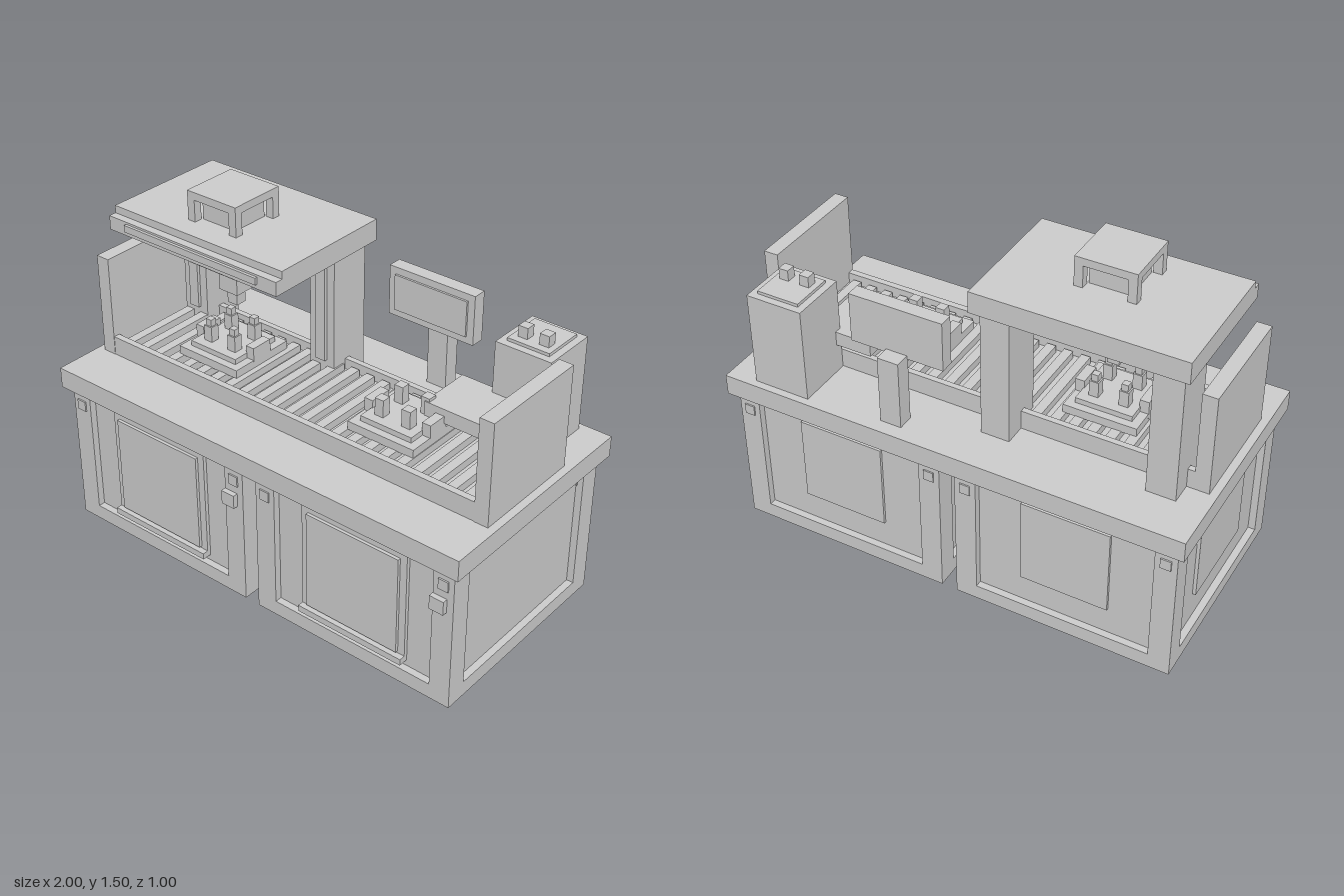
import * as THREE from 'three';

const grey = new THREE.MeshStandardMaterial({ color: 0xcccccc });
grey.name = 'light machine grey';

// Adds a box given by its extents on each axis
function box(parent, name, x0, x1, y0, y1, z0, z1) {
  const mesh = new THREE.Mesh(new THREE.BoxGeometry(x1 - x0, y1 - y0, z1 - z0), grey);
  mesh.position.set((x0 + x1) / 2, (y0 + y1) / 2, (z0 + z1) / 2);
  mesh.name = name;
  parent.add(mesh);
}

function group(parent, name, x = 0, z = 0) {
  const g = new THREE.Group();
  g.name = name;
  g.position.set(x, 0, z);
  parent.add(g);
  return g;
}

// Cabinet with corner posts, recessed walls and raised doors, centred on its own x
function addCabinet(parent, name, x) {
  const g = group(parent, name, x);
  const w = 0.466, d = 0.468, post = 0.092;
  box(g, 'plinth', -w, w, 0, 0.065, -d, d);
  box(g, 'recessedBody', -w + 0.03, w - 0.03, 0.065, 0.63, -d + 0.03, d - 0.03);
  for (const sx of [-1, 1]) {
    for (const sz of [-1, 1]) {
      const cx = sx * (w - post / 2), cz = sz * (d - post / 2);
      box(g, 'cornerPost', cx - post / 2, cx + post / 2, 0.065, 0.63, cz - post / 2, cz + post / 2);
      box(g, 'postBolt', cx - 0.022, cx + 0.022, 0.535, 0.58, cz - 0.052, cz + 0.052);
    }
  }
  box(g, 'frontDoor', -0.248, 0.248, 0.095, 0.595, 0.43, 0.454);
  box(g, 'frontDoorPanel', -0.217, 0.217, 0.13, 0.565, 0.45, 0.467);
  box(g, 'doorSill', -0.248, 0.248, 0.092, 0.12, 0.43, 0.48);
  box(g, 'doorHandle', 0.374, 0.437, 0.44, 0.5, 0.46, 0.49);
  box(g, 'backPanel', -0.187, 0.187, 0.19, 0.57, -0.45, -0.43);
  box(g, 'sidePanel', -0.45, -0.43, 0.19, 0.57, -0.21, 0.21);
}

// Work-holding pallet with four pins and two clamps; tipHeight narrows the pin tops
function addPallet(parent, name, x, pinTop, tipHeight) {
  const g = group(parent, name, x, 0.028);
  box(g, 'palletBase', -0.155, 0.155, 0.785, 0.822, -0.153, 0.153);
  box(g, 'palletPlate', -0.12, 0.12, 0.822, 0.845, -0.12, 0.12);
  for (const s of [-1, 1]) {
    box(g, 'clamp', s * 0.136 - 0.02, s * 0.136 + 0.02, 0.8, 0.877, -0.05, 0.05);
    for (const t of [-1, 1]) {
      const px = s * 0.063, pz = t * 0.06;
      box(g, 'pin', px - 0.02, px + 0.02, 0.845, pinTop - tipHeight, pz - 0.02, pz + 0.02);
      if (tipHeight) box(g, 'pinTip', px - 0.014, px + 0.014, pinTop - tipHeight, pinTop, pz - 0.014, pz + 0.014);
    }
  }
}

function addConveyor(parent) {
  const g = group(parent, 'conveyor');
  box(g, 'conveyorBed', -0.965, 0.965, 0.72, 0.755, -0.215, 0.275);
  box(g, 'backRail', -0.965, 0.965, 0.72, 0.803, -0.218, -0.193);
  box(g, 'frontRail', -0.965, 0.965, 0.72, 0.803, 0.25, 0.278);
  for (let i = -11; i <= 11; i++) {
    const x = i * 0.0775;
    box(g, 'slat', x - 0.02, x + 0.02, 0.75, 0.787, -0.18, 0.235);
  }
  for (const s of [-1, 1]) {
    box(g, 'endWall', s * 0.936 - 0.031, s * 0.936 + 0.031, 0.72, 1.16, -0.218, 0.28);
  }
  addPallet(g, 'rightPallet', -0.47, 0.943, 0.03);
  addPallet(g, 'leftPallet', 0.405, 0.92, 0);
}

// Overhead gantry with its tool head
function addGantry(parent) {
  const g = group(parent, 'gantry', -0.47);
  for (const s of [-1, 1]) {
    const x = s * 0.345;
    box(g, 'column', x - 0.061, x + 0.061, 0.72, 1.285, -0.312, -0.122);
    box(g, 'columnRail', x - 0.024, x + 0.024, 0.815, 1.252, -0.13, -0.108);
  }
  box(g, 'roof', -0.436, 0.436, 1.285, 1.377, -0.345, 0.218);
  box(g, 'roofLip', -0.436, 0.436, 1.285, 1.345, 0.21, 0.252);
  box(g, 'roofStrip', -0.343, 0.343, 1.306, 1.336, 0.245, 0.264);

  // Open frame around a slightly smaller core
  const head = group(g, 'toolHead');
  const r = 0.125, t = 0.036;
  box(head, 'headCore', -0.084, 0.084, 1.22, 1.475, -0.084, 0.084);
  box(head, 'headCap', -r, r, 1.47, 1.503, -r, r);
  box(head, 'headBase', -r, r, 1.19, 1.225, -r, r);
  for (const sx of [-1, 1]) {
    for (const sz of [-1, 1]) {
      const cx = sx * (r - t / 2), cz = sz * (r - t / 2);
      box(head, 'headPost', cx - t / 2, cx + t / 2, 1.22, 1.475, cz - t / 2, cz + t / 2);
    }
  }
  box(head, 'spindle', -0.047, 0.047, 1.065, 1.19, -0.047, 0.047);
  box(head, 'spindleTip', -0.025, 0.025, 1.005, 1.065, -0.025, 0.025);
}

function addMonitor(parent) {
  const g = group(parent, 'monitor', 0.262);
  box(g, 'monitorStand', -0.046, 0.046, 0.72, 1.02, -0.44, -0.37);
  box(g, 'monitorCase', -0.203, 0.203, 1.005, 1.22, -0.375, -0.315);
  box(g, 'monitorScreen', -0.172, 0.172, 1.036, 1.19, -0.32, -0.306);
}

function addTower(parent) {
  const g = group(parent, 'controlTower', 0.75);
  box(g, 'towerBody', -0.123, 0.123, 0.72, 1.13, -0.468, -0.22);
  box(g, 'towerCap', -0.093, 0.093, 1.13, 1.143, -0.438, -0.252);
  for (const s of [-1, 1]) {
    box(g, 'towerButton', s * 0.047 - 0.021, s * 0.047 + 0.021, 1.14, 1.19, -0.327, -0.285);
  }
  box(g, 'feederArm', -0.282, -0.032, 0.845, 0.907, -0.252, -0.007);
}

export function createModel() {
  const model = new THREE.Group();
  model.name = 'workstation';
  addCabinet(model, 'rightCabinet', -0.5);
  addCabinet(model, 'leftCabinet', 0.5);
  box(model, 'counter', -1, 1, 0.63, 0.72, -0.5, 0.5);
  addConveyor(model);
  addGantry(model);
  addMonitor(model);
  addTower(model);
  return model;
}
